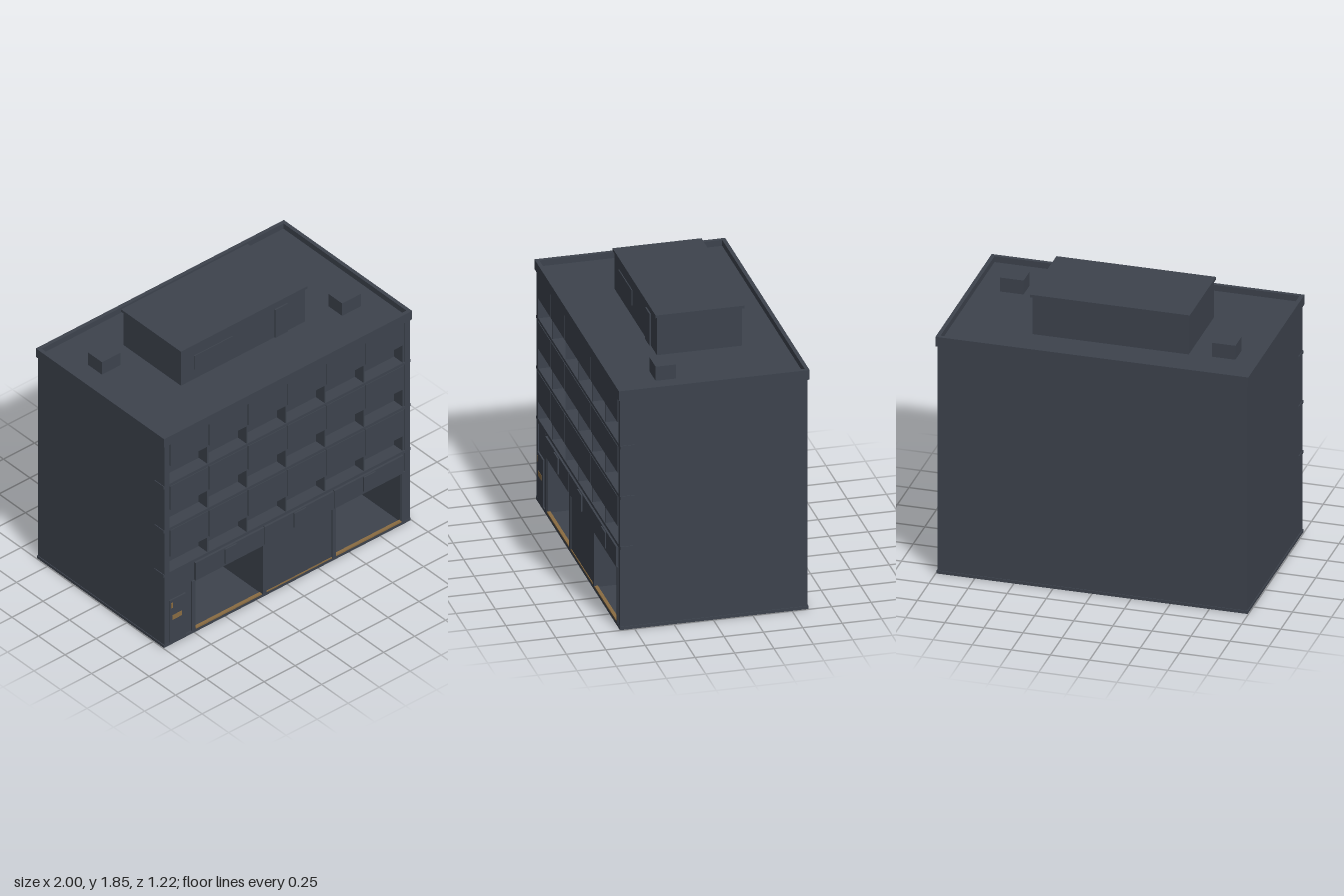
import * as THREE from 'three';

export function createModel() {
  const slate = new THREE.MeshStandardMaterial({ color: 0x3d434d });
  slate.name = 'slate';
  const brass = new THREE.MeshStandardMaterial({ color: 0x8a6c42 });
  brass.name = 'brass';

  const model = new THREE.Group();
  model.name = 'building';

  // Box given by its limits on each axis
  const box = (name, x0, x1, y0, y1, z0, z1, mat = slate) => {
    const m = new THREE.Mesh(new THREE.BoxGeometry(x1 - x0, y1 - y0, z1 - z0), mat);
    m.position.set((x0 + x1) / 2, (y0 + y1) / 2, (z0 + z1) / 2);
    m.name = name;
    model.add(m);
    return m;
  };
  const rect = (P, x0, x1, y0, y1) => {
    const p = new P();
    p.moveTo(x0, y0);
    p.lineTo(x1, y0);
    p.lineTo(x1, y1);
    p.lineTo(x0, y1);
    p.closePath();
    return p;
  };
  // Slab with rectangular openings
  const pierced = (name, outline, openings, depth) => {
    const s = rect(THREE.Shape, ...outline);
    openings.forEach(o => s.holes.push(rect(THREE.Path, ...o)));
    const m = new THREE.Mesh(new THREE.ExtrudeGeometry(s, { depth, bevelEnabled: false }), slate);
    m.name = name;
    model.add(m);
    return m;
  };

  // Openings: two deep shops and three rows of six window bays
  const shops = [[-0.735, -0.2, 0.02, 0.39], [0.39, 0.92, 0.02, 0.39]];
  const floors = [
    { sill: 0.56, head: 0.68, top: 0.88 },
    { sill: 0.9, head: 1.04, top: 1.22 },
    { sill: 1.24, head: 1.38, top: 1.55 },
  ];
  const pitch = 0.315;
  const bays = [];
  for (const f of floors)
    for (let i = 0; i < 6; i++) {
      const x = -0.945 + i * pitch;
      bays.push([x, x + 0.305, f.sill, f.head]);
    }

  // Main body in three layers, back to front
  box('mainBlock', -0.99, 0.99, 0, 1.575, -0.6, 0.17);
  pierced('shopWalls', [-0.99, 0.99, 0, 1.575], shops, 0.335).position.z = 0.17;
  pierced('facade', [-0.99, 0.99, 0, 1.575], [...shops, ...bays], 0.08).position.z = 0.505;

  // Upper window panels, set in pairs, and floor bands
  for (const f of floors) {
    for (let i = 0; i < 6; i++) {
      const x = -0.945 + i * pitch;
      box('windowPanel', x, x + 0.309, f.head, f.top, 0.585, 0.594);
    }
    box('floorBand', -0.995, 0.995, f.sill - 0.02, f.sill, 0.5, 0.59);
  }
  for (const s of [-1, 1]) box('cornerPilaster', s * 0.97 - 0.02, s * 0.97 + 0.02, 0.02, 1.55, 0.58, 0.59);
  box('plinth', -0.995, 0.995, 0, 0.02, -0.605, 0.592);

  // Shop fronts: shutter, posts, thresholds, signs
  box('middleShutter', -0.17, 0.36, 0.02, 0.39, 0.58, 0.588);
  for (const x of [-0.755, -0.185, 0.375, 0.935]) box('shopPost', x - 0.014, x + 0.014, 0.02, 0.4, 0.58, 0.594);
  [-0.745, -0.185, 0.375].forEach((x, i) => {
    box('signBoard', x, x + 0.555, 0.4, 0.535, 0.58, 0.6);
    box('signPlate', x + 0.23, x + 0.325, 0.42, 0.53, 0.6, 0.609);
    const left = [-0.735, -0.17, 0.39][i];
    box('threshold', left, left + 0.53, 0.02, 0.029, 0.57, 0.592, brass);
  });

  // Side entrance with brass fittings
  box('entranceDoor', -0.95, -0.82, 0.02, 0.34, 0.58, 0.595);
  box('doorPlate', -0.93, -0.855, 0.187, 0.222, 0.594, 0.597, brass);
  box('doorHandle', -0.94, -0.928, 0.28, 0.32, 0.594, 0.597, brass);
  box('entranceLintel', -0.95, -0.775, 0.53, 0.54, 0.58, 0.59);

  // Parapet around the sunken roof
  const parapet = pierced('parapet', [-1, 1, -0.6, 0.61], [[-0.975, 0.975, -0.575, 0.585]], 0.065);
  parapet.rotation.x = -Math.PI / 2;
  parapet.position.y = 1.55;

  // Roof house with cap, door and window
  box('roofHouse', -0.535, 0.465, 1.57, 1.83, -0.325, 0.215);
  box('roofHouseCap', -0.545, 0.475, 1.83, 1.848, -0.338, 0.226);
  box('roofDoor', 0.22, 0.32, 1.575, 1.79, 0.21, 0.224);
  box('roofWindow', -0.43, -0.12, 1.65, 1.755, 0.214, 0.221);

  // Rooftop vents
  box('roofVent', -0.83, -0.68, 1.57, 1.67, -0.315, -0.185);
  box('roofVent', 0.675, 0.825, 1.57, 1.67, 0.19, 0.32);

  return model;
}
